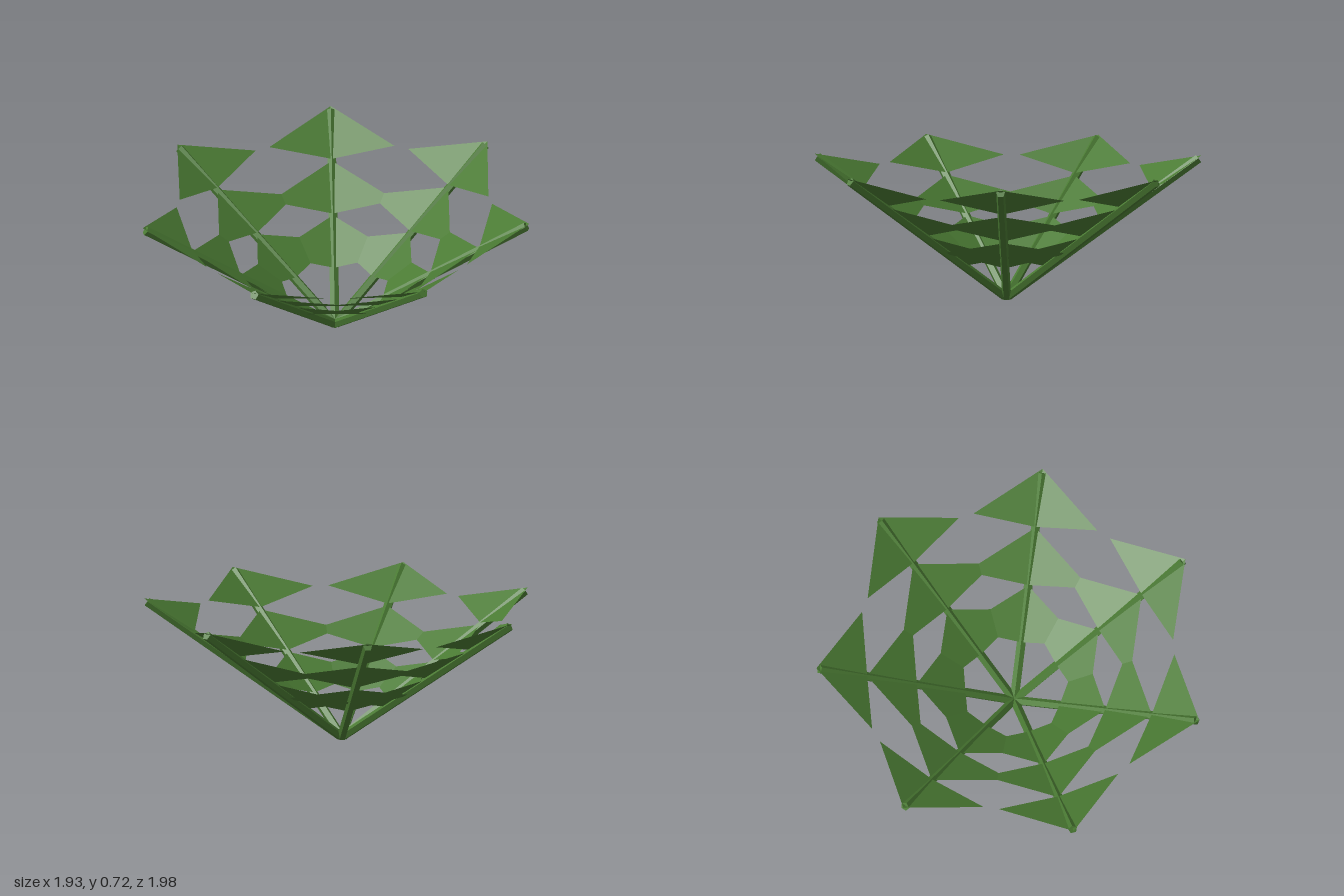
import * as THREE from 'three';

const FRONDS = 7;
const TIP = new THREE.Vector3(1.0, 0.703, 0);
const ROOT = new THREE.Vector3(0.008, 0.02, 0);

// Folded triangular leaflet: tip on the rib, two raised wings, notch on the rib
function leafletGeometry(tip, wing, notch) {
  const left = [wing[0], wing[1], -0.32];
  const right = [wing[0], wing[1], 0.32];
  const t = [...tip, 0], n = [...notch, 0];
  const geo = new THREE.BufferGeometry();
  geo.setAttribute('position', new THREE.Float32BufferAttribute(
    [...t, ...left, ...n, ...t, ...n, ...right], 3));
  geo.computeVertexNormals();
  return geo;
}

// Five-sided rib leaning outward
function stemGeometry() {
  const dir = TIP.clone().sub(ROOT);
  const geo = new THREE.CylinderGeometry(0.024, 0.024, dir.length(), 5);
  geo.rotateY(-Math.PI / 2); // ridge on the upper, inner side
  geo.rotateZ(Math.atan2(dir.y, dir.x) - Math.PI / 2);
  const mid = ROOT.clone().add(TIP).multiplyScalar(0.5);
  geo.translate(mid.x, mid.y, mid.z);
  return geo;
}

export function createModel() {
  const group = new THREE.Group();
  group.name = 'fern';
  const green = new THREE.MeshStandardMaterial({
    color: 0x4a7a33, flatShading: true, side: THREE.DoubleSide,
  });
  green.name = 'leafGreen';

  const stem = stemGeometry();
  // Inner, middle and outer leaflets
  const leaflets = [
    leafletGeometry([0.5, 0.37], [0.25, 0.28], [0.25, 0.203]),
    leafletGeometry([0.755, 0.545], [0.5, 0.455], [0.5, 0.38]),
    leafletGeometry([1.015, 0.72], [0.755, 0.63], [0.755, 0.557]),
  ];

  for (let i = 0; i < FRONDS; i++) {
    const frond = new THREE.Group();
    frond.name = 'frond';
    const rib = new THREE.Mesh(stem, green);
    rib.name = 'stem';
    frond.add(rib);
    for (const geo of leaflets) {
      const leaf = new THREE.Mesh(geo, green);
      leaf.name = 'leaflet';
      frond.add(leaf);
    }
    frond.rotation.y = (i / FRONDS) * Math.PI * 2;
    frond.position.x = -0.05;
    group.add(frond);
  }
  return group;
}
